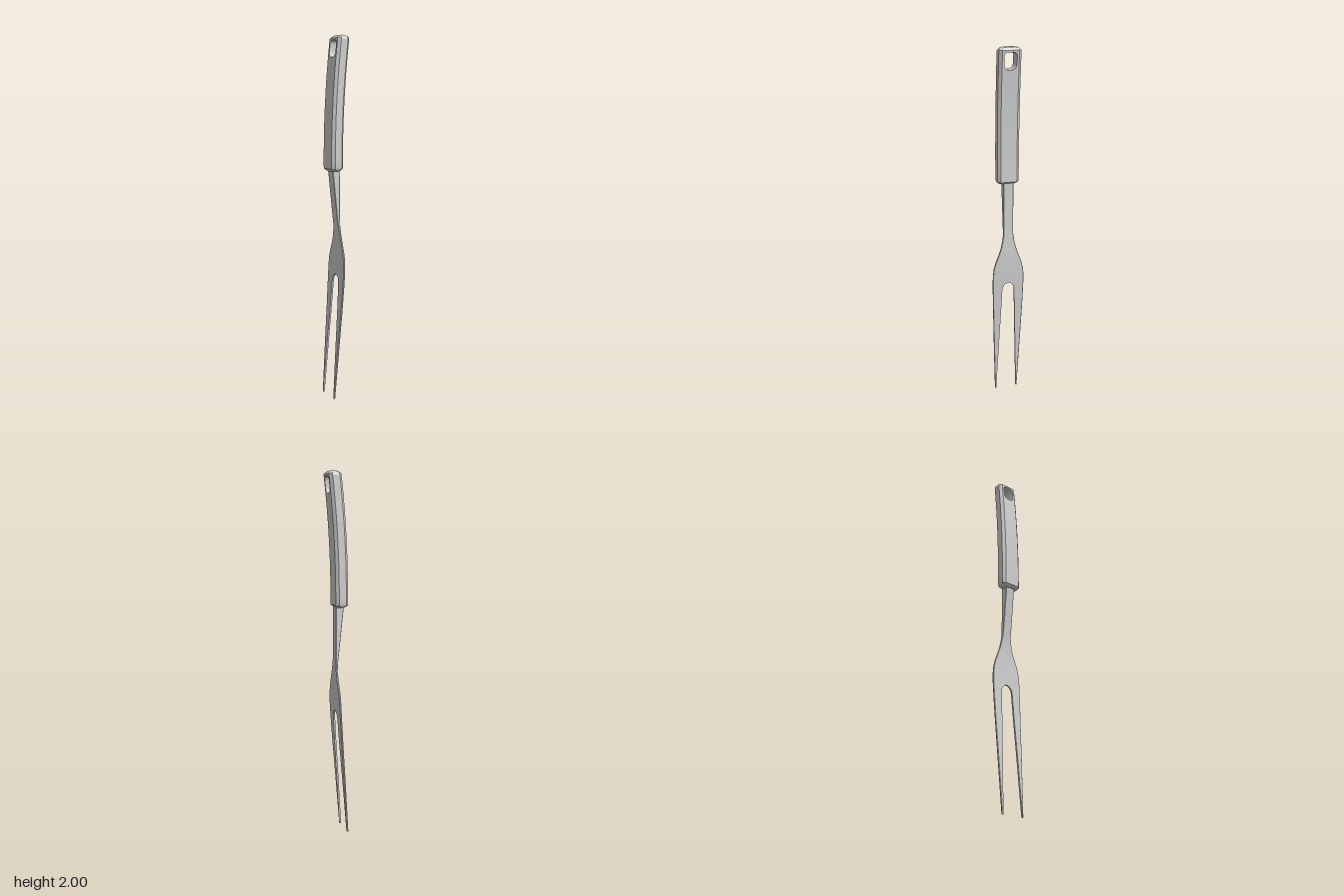
import * as THREE from 'three';
import { toCreasedNormals } from 'three/addons/utils/BufferGeometryUtils.js';

// Lofts mirrored halves through rows {y, h: inner half width, w: outer half width, xa, xb, c: chamfer}
function loft(rows) {
  const pos = [];
  const first = rows[0], last = rows[rows.length - 1];
  const closed = (r) => {
    const x = (r.xa + r.xb) / 2, z = r.h > 0 ? (r.h + r.w) / 2 : 0;
    return { y: r.y, h: z, w: z, xa: x, xb: x, c: 0 };
  };
  const all = [closed(first), ...rows, closed(last)];
  const ring = ({ h, w, xa, xb, c, y }) => [
    [xb, h], [xb, w - c], [xb - c, w], [xa + c, w], [xa, w - c], [xa, h],
  ].map(([x, z]) => [x, y, z]);
  for (let i = 0; i < all.length - 1; i++) {
    const lo = ring(all[i]), hi = ring(all[i + 1]);
    const solid = all[i].h === 0 && all[i + 1].h === 0;
    for (let j = 0; j < (solid ? 5 : 6); j++) {
      const k = (j + 1) % 6;
      for (const tri of [[lo[j], hi[j], lo[k]], [lo[k], hi[j], hi[k]]]) {
        for (const p of tri) pos.push(...p);
        for (const p of [...tri].reverse()) pos.push(p[0], p[1], -p[2]);
      }
    }
  }
  const g = new THREE.BufferGeometry();
  g.setAttribute('position', new THREE.Float32BufferAttribute(pos, 3));
  return toCreasedNormals(g, 0.5);
}

// Half width of a rounded rectangle at distance d from its end
function roundedWidth(d, half, r) {
  if (d >= r) return half;
  return half - r + Math.sqrt(Math.max(0, r * r - (r - d) ** 2));
}

// Linear lookup in [y, value] pairs with ascending y
function lookup(table, y) {
  for (let i = 1; i < table.length; i++) {
    const [y0, v0] = table[i - 1], [y1, v1] = table[i];
    if (y <= y1) return v0 + (v1 - v0) * (y - y0) / (y1 - y0);
  }
  return table[table.length - 1][1];
}

function handleGeometry() {
  const bottom = 1.275, top = 2, bevel = 0.015, thick = 0.035;
  const holeLow = 1.885, holeHigh = 1.975;
  const ends = [0, 0.002, 0.005, 0.01, 0.015, 0.02, 0.025];
  const ys = [...ends.map((d) => bottom + d)];
  for (let i = 1; i <= 14; i++) ys.push(1.3 + i * 0.04);
  // Hanging hole rows
  for (const t of [0, 0.002, 0.006, 0.012, 0.02, 0.03, 0.05, 0.07, 0.078, 0.084, 0.088]) ys.push(holeLow + t);
  ys.push(...ends.map((d) => top - d).reverse());
  const rows = [];
  for (const y of ys) {
    const d = Math.min(y - bottom, top - y);
    const mid = -0.021 + 0.04 * ((y - 1.33) / 0.67) ** 2; // gentle backward bend
    const t = thick - Math.max(0, bevel - d);
    const row = { y, h: 0, w: roundedWidth(d, 0.06, 0.025), xa: mid - t, xb: mid + t, c: bevel };
    const inHole = y >= holeLow - 1e-6 && y <= holeHigh + 1e-6;
    if (!inHole) { rows.push(row); continue; }
    const low = y - holeLow, high = holeHigh - y;
    const h = Math.min(roundedWidth(Math.max(0, low), 0.034, 0.03), roundedWidth(Math.max(0, high), 0.034, 0.02));
    // Flat ends of the hole
    const open = { ...row, h };
    if (low < 1e-6) rows.push(row, open);
    else if (high < 1e-6) rows.push(open, row);
    else rows.push(open);
  }
  return loft(rows);
}

function forkGeometry() {
  const outer = [[0, 0.067], [0.3, 0.078], [0.6, 0.088], [0.7, 0.09], [0.75, 0.089], [0.79, 0.084],
    [0.83, 0.073], [0.87, 0.057], [0.91, 0.043], [0.95, 0.034], [0.99, 0.028], [1.3, 0.028]];
  const slot = [[0, 0.061], [0.3, 0.049], [0.6, 0.037], [0.65, 0.035], [0.67, 0.033], [0.685, 0.026],
    [0.695, 0.015], [0.7, 0]];
  // Face on the +x side, then the thickness behind it
  const face = [[0, -0.045], [0.3, -0.024], [0.5, -0.009], [0.7, 0.004], [0.8, 0.008], [0.88, 0.01],
    [0.95, 0.008], [1.02, 0.006], [1.3, 0.006]];
  const depth = [[0, 0.01], [0.9, 0.01], [0.96, 0.011], [1, 0.015], [1.3, 0.047]];
  const ys = [...new Set([outer, slot, face, depth].flat().map((p) => p[0]))].sort((a, b) => a - b);
  return loft(ys.map((y) => {
    const xb = lookup(face, y);
    return {
      y, h: y < 0.7 ? lookup(slot, y) : 0, w: lookup(outer, y),
      xa: xb - lookup(depth, y), xb, c: 0.002,
    };
  }));
}

export function createModel() {
  const model = new THREE.Group();
  model.name = 'carvingFork';
  const material = new THREE.MeshStandardMaterial({ color: 0xcccccc });
  const parts = { handle: handleGeometry(), shaftAndTines: forkGeometry() };
  for (const [name, geometry] of Object.entries(parts)) {
    const mesh = new THREE.Mesh(geometry, material);
    mesh.name = name;
    model.add(mesh);
  }
  return model;
}
